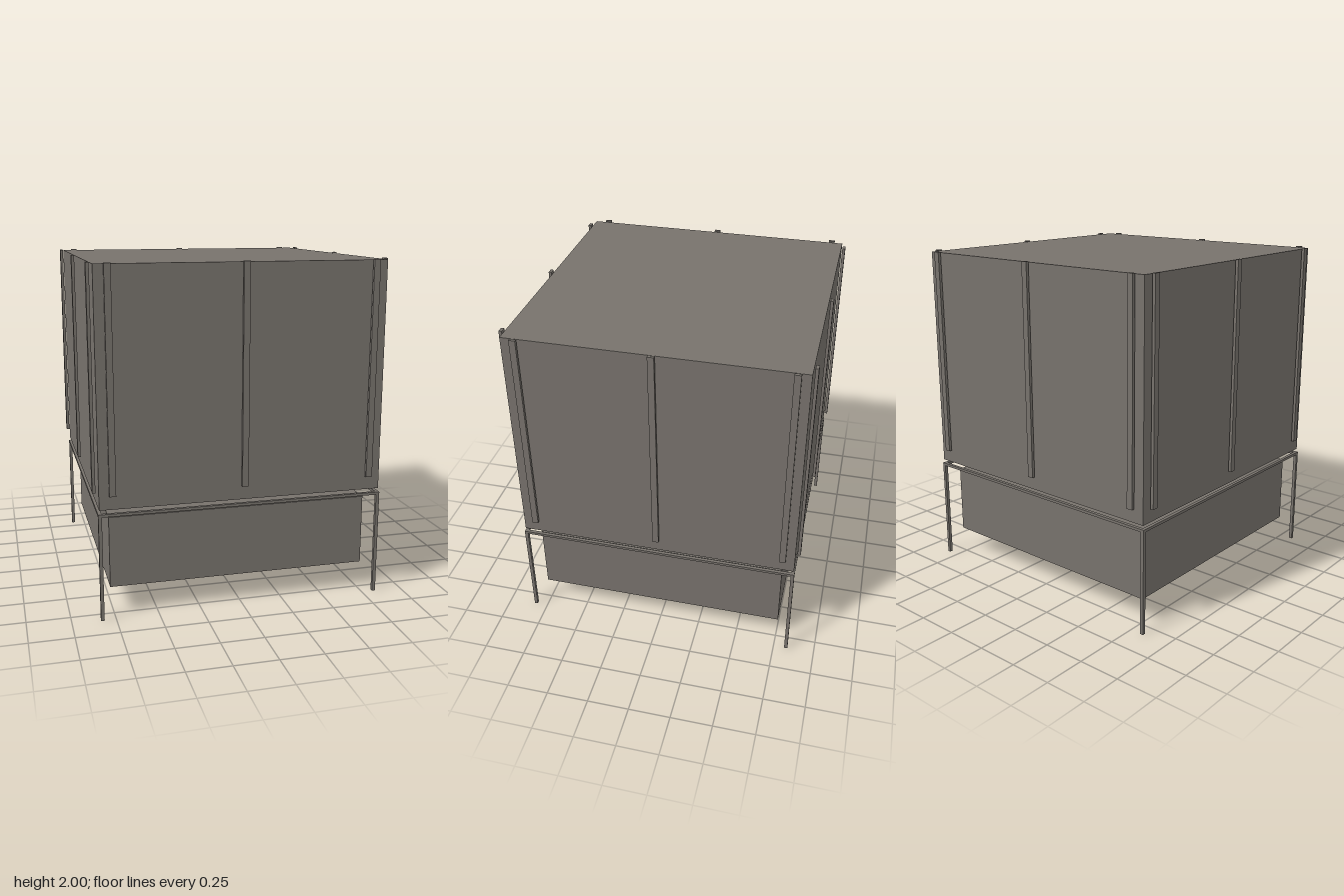
import * as THREE from 'three';

export function createModel() {
  const model = new THREE.Group();
  const greyMetal = new THREE.MeshStandardMaterial({ color: 0x77726c });
  greyMetal.name = 'warm grey';

  // Box given by its centre x and z, its bottom and top, and its width and depth
  function box(name, x, z, y0, y1, w, d) {
    const mesh = new THREE.Mesh(new THREE.BoxGeometry(w, y1 - y0, d), greyMetal);
    mesh.name = name;
    mesh.position.set(x, (y0 + y1) / 2, z);
    model.add(mesh);
  }

  // Main upper body and the smaller block hung below it
  box('upperBody', 0, -0.001, 0.653, 1.995, 1.66, 1.663);
  box('lowerBlock', -0.002, -0.001, 0.164, 0.582, 1.536, 1.514);

  // Open stand: four legs joined by a ring of rails
  const bar = 0.02;
  const legAt = 0.827;
  const railLength = 2 * legAt - bar;
  for (const s of [-1, 1]) {
    for (const t of [-1, 1]) box('leg', s * legAt, t * legAt, 0, 0.63, bar, bar);
    box('sideRail', s * legAt, 0, 0.614, 0.63, bar, railLength);
    box('crossRail', 0, s * legAt, 0.614, 0.63, railLength, bar);
  }

  // Three upright battens standing just off each face
  const battenAt = 0.849;
  for (const s of [-1, 1]) {
    for (const p of [-0.756, 0, 0.756]) {
      box('endBatten', p, s * battenAt, 0.735, 2, 0.037, 0.018);
      box('sideBatten', s * battenAt, p - 0.007, 0.735, 2, 0.018, 0.037);
    }
  }
  return model;
}
